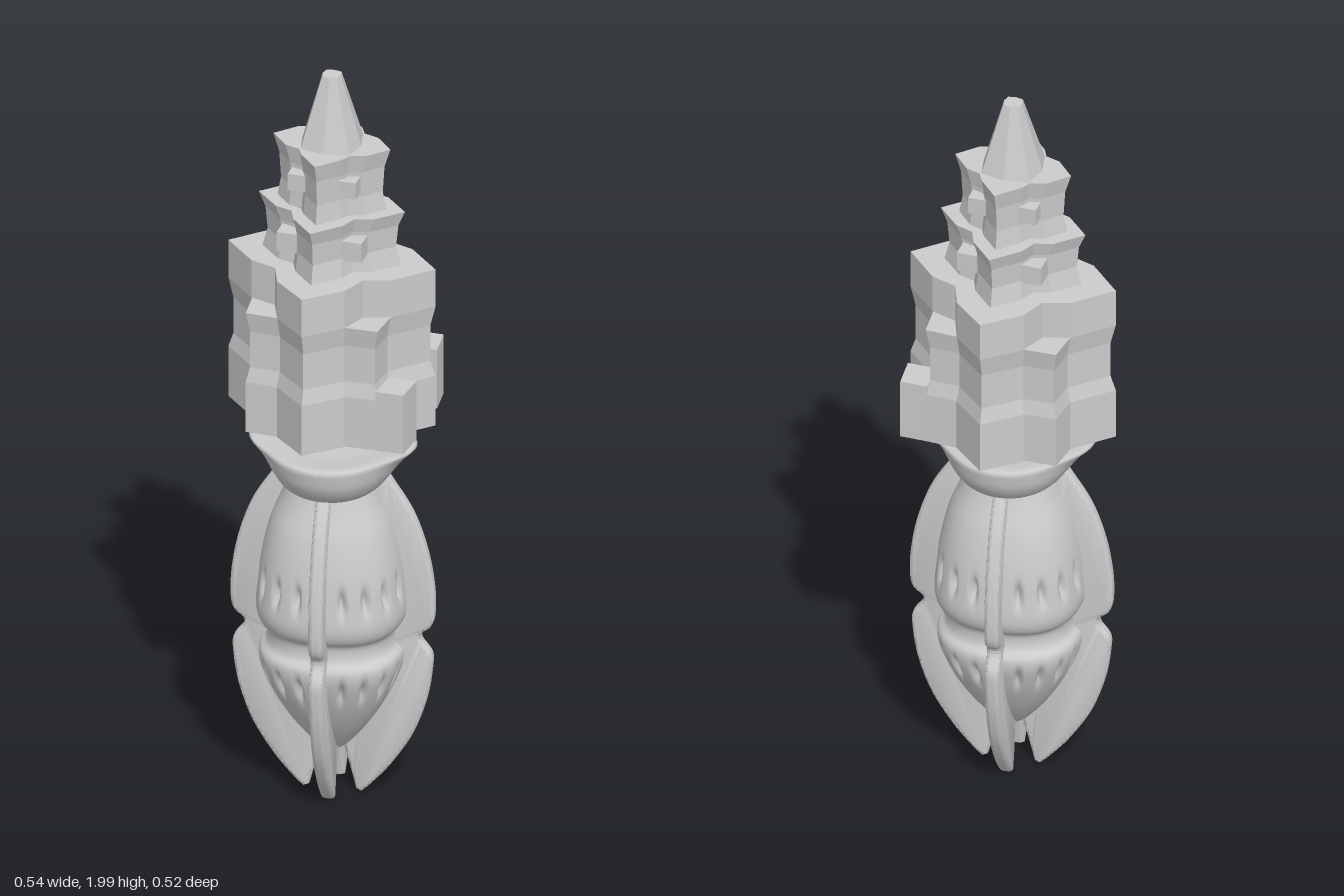
import * as THREE from 'three';
import { mergeVertices, toCreasedNormals } from 'three/addons/utils/BufferGeometryUtils.js';

const smooth = new THREE.MeshStandardMaterial({ color: 0xcccccc, side: THREE.DoubleSide });
const flat = new THREE.MeshStandardMaterial({ color: 0xcccccc, flatShading: true });

function add(parent, name, geometry, material) {
  const mesh = new THREE.Mesh(geometry, material);
  mesh.name = name;
  parent.add(mesh);
  return mesh;
}

// Prism with one outline [x, -z] (counter-clockwise from above), scaled at each level [y, scale]
function prism(outline, levels) {
  const pos = [], n = outline.length;
  const at = (p, [y, s]) => [p[0] * s, y, -p[1] * s];
  const mid = [0, 1].map(k => outline.reduce((t, p) => t + p[k], 0) / n);
  const low = levels[0], high = levels[levels.length - 1];
  outline.forEach((a, i) => {
    const b = outline[(i + 1) % n];
    for (let j = 0; j < levels.length - 1; j++) {
      const l = levels[j], u = levels[j + 1];
      pos.push(...at(a, l), ...at(b, l), ...at(b, u), ...at(a, l), ...at(b, u), ...at(a, u));
    }
    pos.push(...at(mid, high), ...at(a, high), ...at(b, high));
    pos.push(...at(mid, low), ...at(b, low), ...at(a, low));
  });
  const g = new THREE.BufferGeometry();
  g.setAttribute('position', new THREE.Float32BufferAttribute(pos, 3));
  g.computeVertexNormals();
  return g;
}

// Mirrors one quarter outline (from +x tip to back tip) all the way round
function fourfold(q) {
  const half = [...q, ...q.slice(0, -1).reverse().map(([x, u]) => [-x, u])];
  return [...half, ...half.slice(1, -1).map(([x, u]) => [-x, -u])];
}

function mirrored(pts, sx, su) {
  const out = pts.map(([x, u]) => [x * sx, u * su]);
  return sx * su < 0 ? out.reverse() : out;
}

function createTower() {
  const tower = new THREE.Group();
  tower.name = 'tower';
  tower.position.set(-0.004, 0, -0.005);

  // Star-shaped storeys with pinched waists
  const waist = [[1.05, 1], [1.19, 1], [1.23, 0.95], [1.33, 0.95], [1.385, 1]];
  add(tower, 'lowerStorey', prism(
    fourfold([[0.271, 0], [0.183, 0.088], [0.115, 0.11], [0.088, 0.178], [0, 0.256]]),
    [...waist, [1.49, 1]]), flat);
  add(tower, 'middleStorey', prism(
    fourfold([[0.191, 0], [0.128, 0.063], [0.082, 0.077], [0.064, 0.119], [0, 0.184]]),
    [[1.49, 0.95], [1.54, 0.88], [1.6, 0.91], [1.64, 1]]), flat);
  add(tower, 'upperStorey', prism(
    fourfold([[0.153, 0], [0.105, 0.052], [0.066, 0.064], [0.053, 0.09], [0, 0.146]]),
    [[1.64, 0.93], [1.69, 0.87], [1.76, 0.9], [1.81, 1]]), flat);

  // Eight-sided spire
  add(tower, 'spire', prism(
    fourfold([[0.077, 0], [0.063, 0.061], [0, 0.074]]), [[1.81, 1], [2, 0.31]]), flat);

  // Corner columns, window blocks, and low blocks on the left side only
  for (const sx of [1, -1]) for (const su of [1, -1]) {
    add(tower, 'cornerColumn', prism(
      mirrored([[0.09, 0.09], [0.181, 0.089], [0.172, 0.173], [0.087, 0.176]], sx, su), waist), flat);
    for (const [y, d, size] of [[1.565, 0.085, 0.052], [1.725, 0.066, 0.046]]) {
      const win = add(tower, 'windowBlock', new THREE.BoxGeometry(size, size, size), flat);
      win.position.set(sx * d, y, su * (d - 0.002));
    }
    if (sx > 0) add(tower, 'lowBlock', prism(
      mirrored([[0.175, 0.088], [0.248, 0.088], [0.239, 0.173], [0.168, 0.173]], sx, su),
      [[1.05, 1], [1.215, 1]]), flat);
  }
  return tower;
}

// Smooth lathe from profile points, with radius changed by rule(angle, y)
function shapedLathe(points, samples, segments, rule) {
  const curve = new THREE.CatmullRomCurve3(
    points.map(([r, y]) => new THREE.Vector3(r, y, 0)), false, 'centripetal');
  const profile = curve.getSpacedPoints(samples).map(p => new THREE.Vector2(Math.max(0, p.x), p.y));
  const g = new THREE.LatheGeometry(profile, segments);
  const p = g.attributes.position;
  for (let i = 0; i < p.count; i++) {
    const k = rule(Math.atan2(p.getX(i), p.getZ(i)), p.getY(i));
    p.setX(i, p.getX(i) * k);
    p.setZ(i, p.getZ(i) * k);
  }
  g.computeVertexNormals();
  return g;
}

function createPod() {
  const pod = new THREE.Group();
  pod.name = 'pod';
  pod.position.set(0.008, 0, 0.022);
  pod.rotation.y = 0.1;

  // Two-lobed body with rows of dimples
  const body = [[0, 0.12], [0.03, 0.13], [0.085, 0.19], [0.135, 0.265], [0.17, 0.335], [0.188, 0.39],
    [0.187, 0.42], [0.17, 0.44], [0.168, 0.48], [0.186, 0.5], [0.196, 0.53], [0.192, 0.6],
    [0.182, 0.68], [0.16, 0.77], [0.132, 0.84], [0.115, 0.89]];
  add(pod, 'body', shapedLathe(body, 110, 240, (a, y) => {
    const dot = Math.max(0, Math.cos(20 * a)) ** 2;
    const rows = Math.exp(-(((y - 0.615) / 0.03) ** 2)) + Math.exp(-(((y - 0.355) / 0.03) ** 2));
    return 1 - 0.03 * Math.cos(4 * a) - 0.1 * dot * rows;
  }), smooth);

  // Cup with two pointed lips
  const cup = [[0, 0.86], [0.1, 0.862], [0.15, 0.885], [0.18, 0.925], [0.19, 0.96],
    [0.192, 0.985], [0.18, 0.988], [0.1, 0.978], [0, 0.975]];
  add(pod, 'cup', shapedLathe(cup, 60, 96, (a, y) => {
    const c = Math.abs(Math.sin(a)), t = Math.max(0, (y - 0.86) / 0.125);
    return 1 - 0.15 * c * c + 0.26 * t ** 3 * c ** 8;
  }), smooth);

  // Four notched fins running down to pointed feet
  const outer = [[0.125, 0.93], [0.15, 0.89], [0.205, 0.8], [0.24, 0.7], [0.258, 0.6], [0.26, 0.52],
    [0.25, 0.485], [0.228, 0.465], [0.228, 0.445], [0.252, 0.41], [0.254, 0.37], [0.24, 0.28],
    [0.205, 0.18], [0.15, 0.09], [0.1, 0.03], [0.075, 0.006]];
  const shape = new THREE.Shape();
  shape.moveTo(0.08, 0.93);
  shape.lineTo(0.125, 0.93);
  shape.splineThru(outer.slice(1).map(p => new THREE.Vector2(...p)));
  shape.lineTo(0.06, 0.012);
  shape.splineThru([[0.048, 0.06], [0.035, 0.11], [0.022, 0.16]].map(p => new THREE.Vector2(...p)));
  shape.lineTo(0.08, 0.4);
  const raw = new THREE.ExtrudeGeometry(shape, {
    depth: 0.012, curveSegments: 40, bevelSize: 0.01, bevelOffset: -0.01, bevelThickness: 0.012, bevelSegments: 4,
  });
  raw.translate(0, 0, -0.006);
  raw.deleteAttribute('uv');
  raw.deleteAttribute('normal');
  const fin = toCreasedNormals(mergeVertices(raw), 0.9);
  for (let i = 0; i < 4; i++) {
    const mesh = add(pod, 'fin', fin, smooth);
    mesh.rotation.y = i * Math.PI / 2;
    mesh.scale.x = i % 2 ? 0.91 : 1;
  }
  return pod;
}

export function createModel() {
  const model = new THREE.Group();
  model.name = 'towerOnPod';
  model.add(createTower(), createPod());

  // Small ball floating between tower and pod
  add(model, 'ball', new THREE.SphereGeometry(0.026, 32, 20), smooth).position.set(0.004, 1.017, -0.003);
  return model;
}
